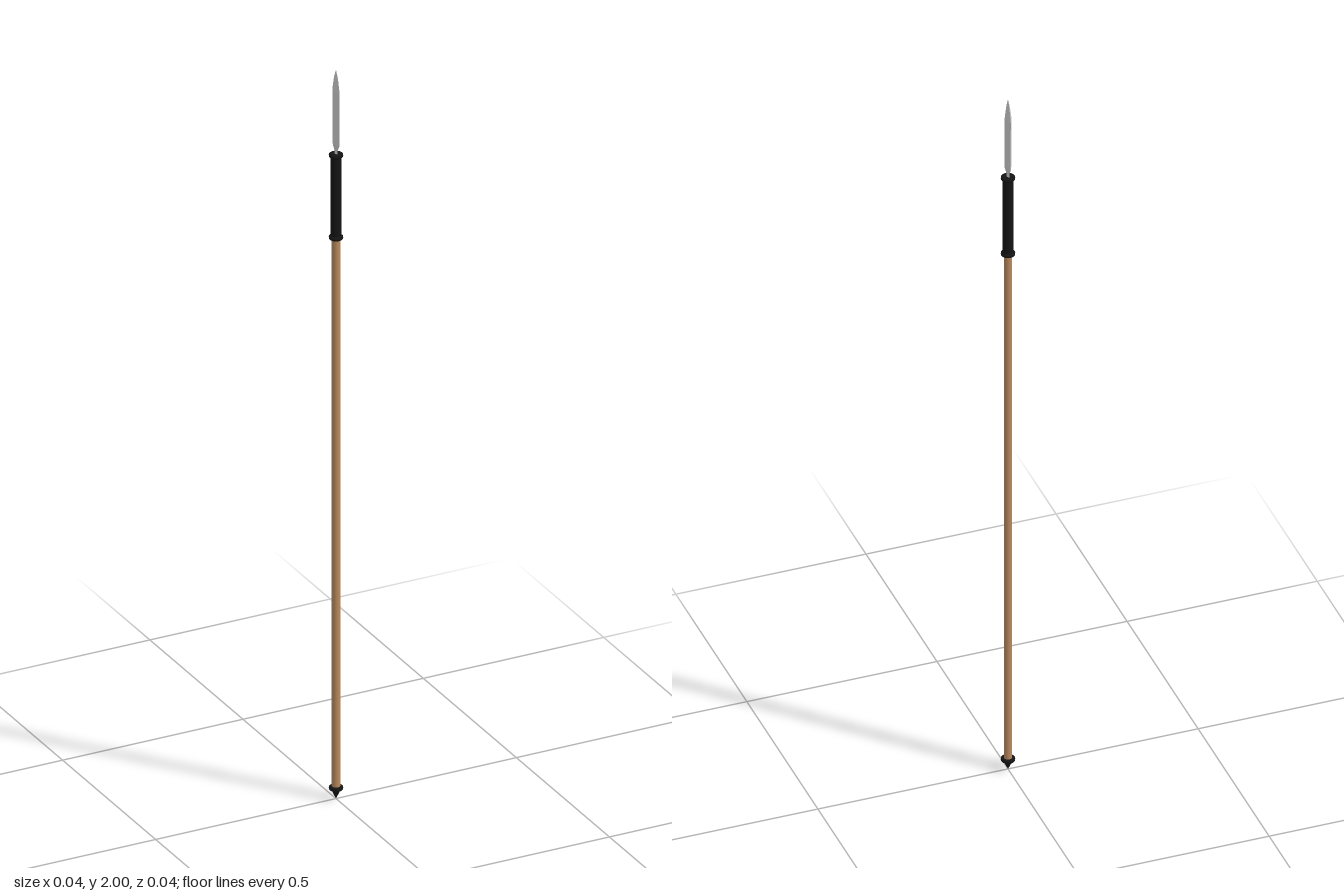
import * as THREE from 'three';

const mat = (color, flatShading = false) => new THREE.MeshStandardMaterial({ color, flatShading });

export function createModel() {
  const spear = new THREE.Group();
  spear.name = 'spear';
  const wood = mat(0xb98a5e);
  const black = mat(0x141414);
  const steel = mat(0xcccccc, true);

  const add = (name, geometry, material, y = 0) => {
    const mesh = new THREE.Mesh(geometry, material);
    mesh.name = name;
    mesh.position.y = y;
    spear.add(mesh);
    return mesh;
  };
  const rod = (name, radius, y0, y1, material) =>
    add(name, new THREE.CylinderGeometry(radius, radius, y1 - y0, 24), material, (y0 + y1) / 2);
  const lathe = (points, sides) =>
    new THREE.LatheGeometry(points.map(([r, y]) => new THREE.Vector2(r, y)), sides);

  // Wooden pole and the dark sleeve below the blade
  rod('shaft', 0.0105, 0.025, 1.55, wood);
  rod('sleeve', 0.0135, 1.535, 1.765, black);

  // Rounded rings at both ends of the sleeve and at the foot
  const ring = [[0, -0.005], [0.015, -0.005], [0.0175, -0.003], [0.018, 0],
    [0.0175, 0.003], [0.015, 0.005], [0, 0.005]];
  for (const [name, y] of [['upperCollar', 1.765], ['lowerCollar', 1.54], ['footCollar', 0.03]]) {
    add(name, lathe(ring, 24), black, y);
  }

  // Pointed foot
  add('footSpike', lathe([[0, 0], [0.0125, 0.027]], 24), black);

  // Four-sided blade with a diamond section, broad along z
  const profile = [[0.008, 1.765], [0.009, 1.78], [0.0185, 1.797], [0.0195, 1.94], [0.011, 1.975], [0, 2]];
  add('blade', lathe(profile, 4), steel).scale.x = 0.48;

  return spear;
}
